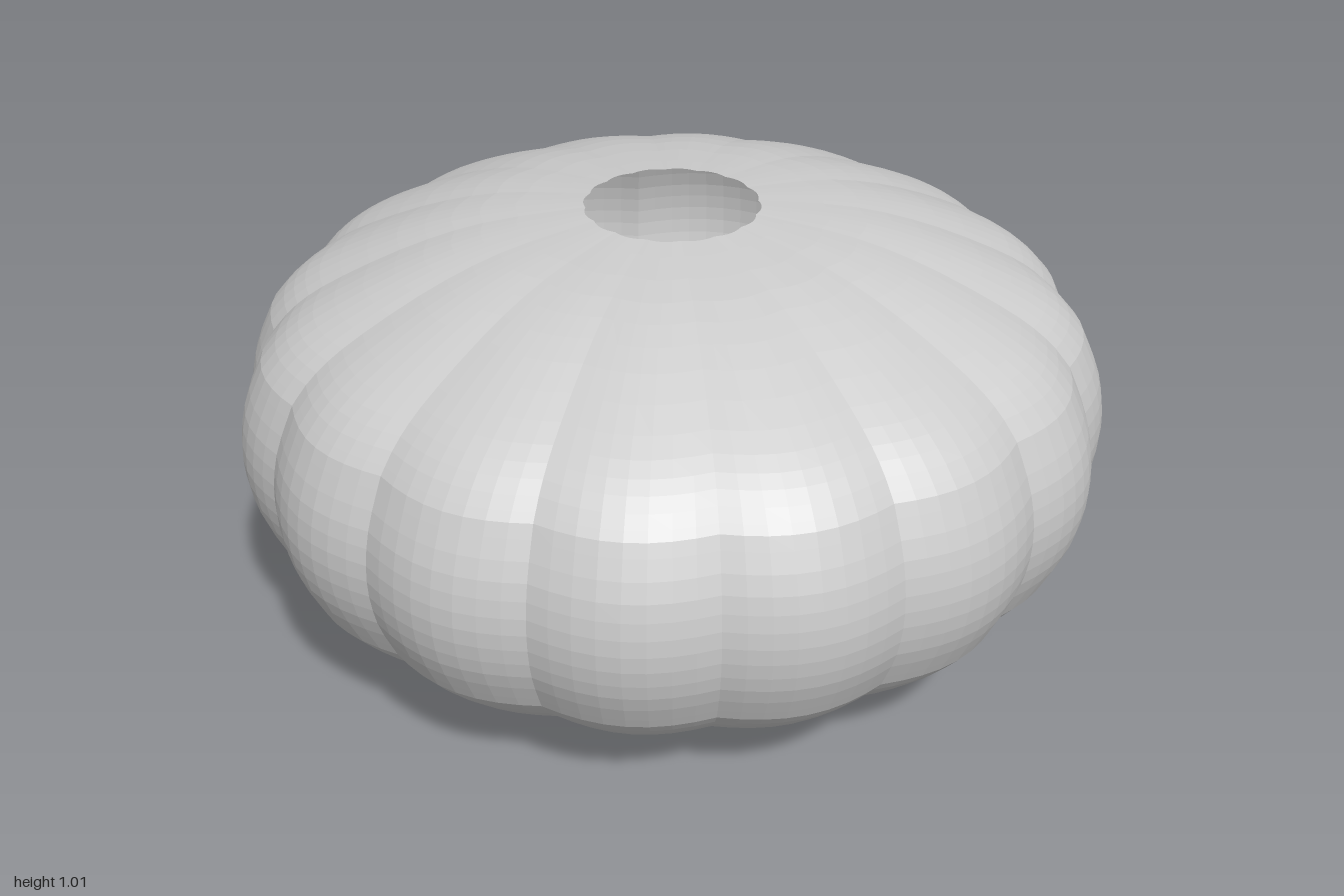
import * as THREE from 'three';

const LOBES = 16;

// Smooth run of profile points (radius, height), without its last point
function arc(points, divisions) {
  const curve = new THREE.SplineCurve(points.map(([r, y]) => new THREE.Vector2(r, y)));
  return curve.getPoints(divisions);
}

// Open shell: a lathe whose radius swells between evenly spaced seams
function lobedShell() {
  const lower = arc([[0.3, 0], [0.55, 0.045], [0.785, 0.15], [0.88, 0.225], [0.936, 0.29]], 14);
  const middle = arc([[0.936, 0.29], [0.983, 0.4], [1, 0.515], [0.983, 0.63], [0.936, 0.74]], 12);
  const upper = arc([[0.936, 0.74], [0.88, 0.8], [0.785, 0.86], [0.6, 0.94], [0.42, 0.99], [0.2, 1.015]], 14);
  const profile = [...lower, ...middle.slice(1), ...upper.slice(1)];

  const geometry = new THREE.LatheGeometry(profile, LOBES * 8);
  const pos = geometry.attributes.position;
  for (let i = 0; i < pos.count; i++) {
    const x = pos.getX(i), z = pos.getZ(i);
    const swell = 0.982 + 0.031 * Math.abs(Math.sin(Math.atan2(x, z) * LOBES / 2));
    pos.setX(i, x * swell);
    pos.setZ(i, z * swell);
  }
  geometry.computeVertexNormals();
  return geometry;
}

export function createModel() {
  const group = new THREE.Group();
  group.name = 'lobedLampshade';

  const shadeGrey = new THREE.MeshStandardMaterial({
    color: 0xcccccc, flatShading: true, side: THREE.DoubleSide,
  });
  shadeGrey.name = 'shadeGrey';

  // Lobed shade, open at the top and bottom
  const shade = new THREE.Mesh(lobedShell(), shadeGrey);
  shade.name = 'shade';
  group.add(shade);

  // Bulb hanging in the middle
  const bulb = new THREE.Mesh(new THREE.SphereGeometry(0.125, 32, 24), shadeGrey);
  bulb.name = 'bulb';
  bulb.position.y = 0.51;
  group.add(bulb);

  return group;
}
